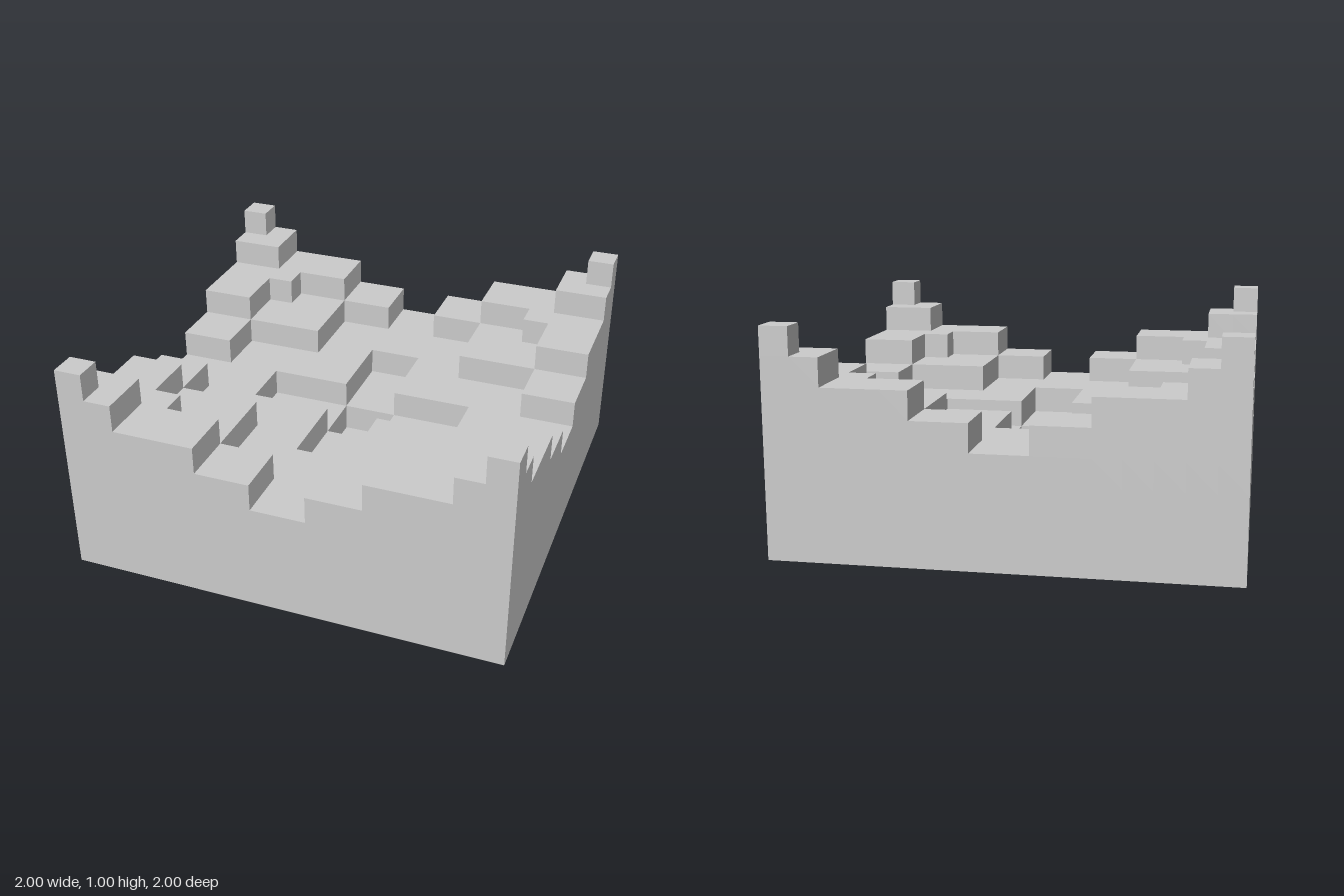
import * as THREE from 'three';

const N = 16;        // cells per side
const S = 2 / N;     // cell size, also the height of one step

// Terrace height, in steps, of the cell centred at (x, z); mirrored in both axes
function heightAt(x, z) {
  const a = Math.abs(x), b = Math.abs(z);
  if (a > 8 || b > 8) return 0;
  const steps = [
    a > 3 && b > 3,                                              // corner terrace
    (a > 6 && b > 1) || (b > 6 && a > 1) || (a > 5 && b > 5),    // notched rim terrace
    a > 6 && b > 6,                                              // upper corner block
    a > 7 && b > 7                                               // corner pinnacle
  ];
  const trenches = [a < 1 && b < 4, a < 4 && b < 1];             // crossed sunken trenches
  const count = list => list.filter(Boolean).length;
  return 4 + count(steps) - count(trenches);
}

export function createModel() {
  const group = new THREE.Group();
  group.name = 'terracedBasin';
  const positions = [];

  // Quad from corner p along u and v, facing u x v
  const quad = (p, u, v) => {
    const c = [[0, 0], [1, 0], [1, 1], [0, 1]].map(([s, t]) =>
      p.map((n, k) => (n + s * u[k] + t * v[k]) * S));
    for (const k of [0, 1, 2, 0, 2, 3]) positions.push(...c[k]);
  };
  const X = [1, 0, 0], Y = [0, 1, 0], Z = [0, 0, 1];

  for (let x = -N / 2; x < N / 2; x++) {
    for (let z = -N / 2; z < N / 2; z++) {
      const cx = x + 0.5, cz = z + 0.5, h = heightAt(cx, cz);
      // Terrace top and underside
      quad([x, h, z], Z, X);
      quad([x, 0, z], X, Z);
      // Risers down to each lower neighbour, one step at a time
      for (let y = heightAt(cx + 1, cz); y < h; y++) quad([x + 1, y, z], Y, Z);
      for (let y = heightAt(cx - 1, cz); y < h; y++) quad([x, y, z], Z, Y);
      for (let y = heightAt(cx, cz + 1); y < h; y++) quad([x, y, z + 1], X, Y);
      for (let y = heightAt(cx, cz - 1); y < h; y++) quad([x, y, z], Y, X);
    }
  }

  const geometry = new THREE.BufferGeometry();
  geometry.setAttribute('position', new THREE.Float32BufferAttribute(positions, 3));
  geometry.computeVertexNormals();
  const mesh = new THREE.Mesh(geometry,
    new THREE.MeshStandardMaterial({ color: 0xcccccc, flatShading: true }));
  mesh.name = 'steppedBlock';
  group.add(mesh);
  return group;
}
